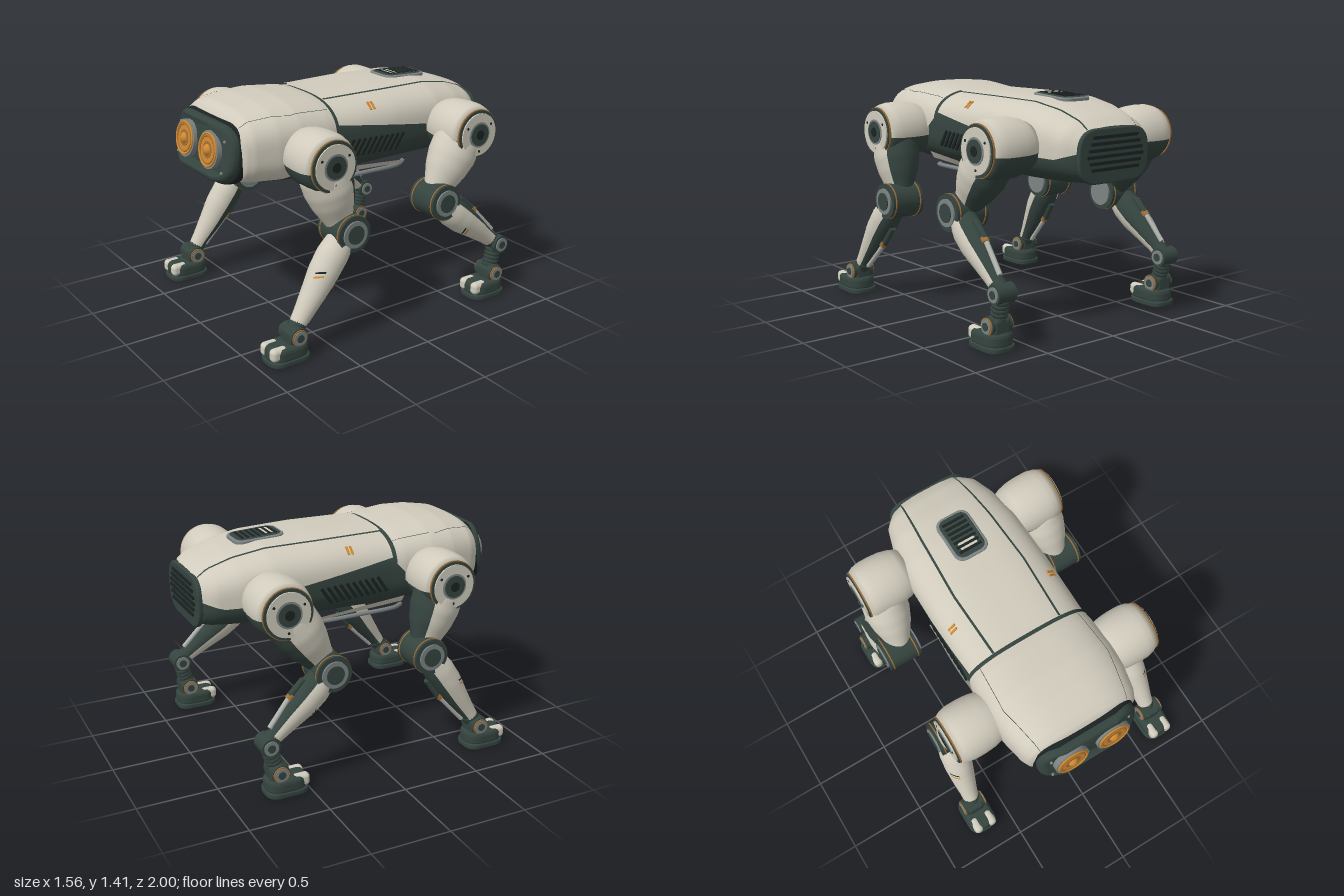
import * as THREE from 'three';
import { RoundedBoxGeometry } from 'three/addons/geometries/RoundedBoxGeometry.js';

const mat = (name, color, double) => {
  const m = new THREE.MeshStandardMaterial({ color });
  m.name = name;
  if (double) m.side = THREE.DoubleSide;
  return m;
};
const shell = mat('warm white shell', 0xd0cbbc, true);
const dark = mat('dark green grey', 0x35443f, true);
const black = mat('black recess', 0x1b2322, true);
const grey = mat('metal grey', 0x7c8483);
const steel = mat('light steel', 0xb0b2ac);
const orange = mat('lens orange', 0xd0882f, true);
const bronze = mat('bronze', 0xa06f38);

function add(parent, name, geo, material, x = 0, y = 0, z = 0) {
  const m = new THREE.Mesh(geo, material);
  m.name = name;
  m.position.set(x, y, z);
  parent.add(m);
  return m;
}
const box = (w, h, d) => new THREE.BoxGeometry(w, h, d);

// Grid surface from a rule fn(u, v) -> [x, y, z]
function patch(nu, nv, fn, flip) {
  const p = [], idx = [];
  for (let i = 0; i <= nu; i++) for (let j = 0; j <= nv; j++) p.push(...fn(i / nu, j / nv));
  for (let i = 0; i < nu; i++) for (let j = 0; j < nv; j++) {
    const a = i * (nv + 1) + j, b = a + nv + 1;
    if (flip) idx.push(a, a + 1, b, b, a + 1, b + 1);
    else idx.push(a, b, a + 1, b, b + 1, a + 1);
  }
  const g = new THREE.BufferGeometry();
  g.setAttribute('position', new THREE.Float32BufferAttribute(p, 3));
  g.setIndex(idx);
  g.computeVertexNormals();
  return g;
}
// Linear lookup in rows [key, ...values]
function look(rows, k) {
  let i = 0;
  while (i < rows.length - 2 && k > rows[i + 1][0]) i++;
  const a = rows[i], b = rows[i + 1];
  const f = THREE.MathUtils.clamp((k - a[0]) / (b[0] - a[0]), 0, 1);
  return a.slice(1).map((v, n) => v + (b[n + 1] - v) * f);
}
function roundRect(w, h, r, depth, bevel) {
  const s = new THREE.Shape(), x = w / 2 - bevel, y = h / 2 - bevel;
  s.moveTo(-x + r, -y).lineTo(x - r, -y).quadraticCurveTo(x, -y, x, -y + r).lineTo(x, y - r);
  s.quadraticCurveTo(x, y, x - r, y).lineTo(-x + r, y).quadraticCurveTo(-x, y, -x, y - r);
  s.lineTo(-x, -y + r).quadraticCurveTo(-x, -y, -x + r, -y);
  return new THREE.ExtrudeGeometry(s, { depth, bevelSize: bevel, bevelThickness: bevel, bevelSegments: 3, curveSegments: 10 });
}
// Sweep the sides of a plate backwards
function sweepSides(geo) {
  const p = geo.attributes.position;
  for (let i = 0; i < p.count; i++) p.setZ(i, p.getZ(i) - .3 * Math.max(0, Math.abs(p.getX(i)) - .18));
  geo.computeVertexNormals();
  return geo;
}
// Cylinder along x between x0 and x1 on side s
function cylX(parent, name, material, r, x0, x1, y, z, s) {
  const m = add(parent, name, new THREE.CylinderGeometry(r, r, x1 - x0, 32), material, s * (x0 + x1) / 2, y, z);
  m.rotation.z = Math.PI / 2;
}

// Body sections: z, half width, top, bottom
const BODY = [[-.97, .26, 1.24, .91], [-.9, .325, 1.285, .895], [-.75, .37, 1.335, .885], [-.55, .4, 1.37, .88],
  [-.2, .41, 1.38, .88], [.22, .41, 1.375, .875], [.3, .42, 1.39, .88], [.5, .43, 1.41, .885],
  [.65, .42, 1.405, .9], [.8, .39, 1.38, .925], [.85, .365, 1.35, .942], [.875, .32, 1.305, .975]];
const Z0 = -.97, Z1 = .875, POW = .7;
const sp = v => Math.sign(v) * Math.abs(v) ** POW;
function bodyPoint(z, a, off) {
  const [w, t, b] = look(BODY, z);
  return [(w + off) * sp(Math.sin(a)), (t + b) / 2 + ((t - b) / 2 + off) * sp(Math.cos(a)), z];
}
// Angle from the top of a section at a given height or half width
function angleY(z, y) {
  const [, t, b] = look(BODY, z);
  const c = THREE.MathUtils.clamp((2 * y - t - b) / (t - b), -1, 1);
  return Math.acos(Math.sign(c) * Math.abs(c) ** (1 / POW));
}
const angleX = (z, x) => Math.asin(Math.min(1, x / look(BODY, z)[0]) ** (1 / POW));
function band(parent, name, material, z0, z1, lo, hi, off, nv = 4) {
  add(parent, name, patch(48, nv, (u, v) => {
    const z = z0 + (z1 - z0) * u, a = lo(z), b = hi(z);
    return bodyPoint(z, a + (b - a) * v, off);
  }), material);
}

function buildBody(root) {
  const g = new THREE.Group();
  g.name = 'body';
  root.add(g);
  // Dark hull with flat ends
  add(g, 'hull', patch(64, 64, (u, v) => {
    const k = THREE.MathUtils.clamp((u * 64 - 1) / 62, 0, 1);
    const q = bodyPoint(Z0 + (Z1 - Z0) * k, (2 * v - 1) * Math.PI, -.012);
    return u === 0 || u === 1 ? [0, 1.1, q[2]] : q;
  }), dark);
  // White shells
  const rearEdge = [[-.97, 1.1], [-.85, 1.06], [-.6, 1.07], [-.45, 1.14], [.22, 1.24]];
  const headEdge = [[.25, 1.2], [.4, 1.04], [.6, .975], [.875, .98]];
  const rear = z => angleY(z, look(rearEdge, z)[0]), head = z => angleY(z, look(headEdge, z)[0]);
  band(g, 'rear shell', shell, Z0, .225, z => -rear(z), rear, 0, 48);
  band(g, 'head shell', shell, .25, Z1, z => -head(z), head, 0, 48);
  // Raised back panel and seams
  const panel = z => angleX(z, look([[-.97, .18], [-.6, .21], [-.2, .23], [.22, .215]], z)[0]);
  band(g, 'back panel', shell, -.96, .225, z => -panel(z), panel, .01, 20);
  for (const s of [1, -1]) {
    const order = (f, h) => (s > 0 ? [f, h] : [z => -h(z), z => -f(z)]);
    band(g, 'panel seam', dark, -.96, .225, ...order(panel, z => panel(z) + .045), .007, 2);
    const seam = z => angleX(z, look([[.25, .33], [.55, .35], [.85, .29]], z)[0]);
    band(g, 'head seam', dark, .25, .85, ...order(seam, z => seam(z) + .012), .006, 1);
    // Side skirt, a slanted wedge below the hull
    add(g, 'side skirt', patch(12, 2, (u, v) => {
      const top = .935 + .05 * u, low = .905 + .035 * u;
      return [s * (.4 - .03 * v), top + (low - top) * v, -.28 + .59 * u];
    }, s < 0), shell);
    // Slanted side louvres
    for (let i = 0; i < 10; i++) {
      const m = add(g, 'side louvre', box(.012, .12, .018), black, s * .4, 1.085 - i * .002, .15 - i * .042);
      m.rotation.x = -.6;
    }
    // Orange dashes
    for (const dz of [-.035, -.06]) {
      const p = bodyPoint(dz, s * angleX(dz, .345), 0);
      const m = add(g, 'orange dash', box(.058, .008, .014), orange, ...p);
      m.rotation.z = -s * .75;
    }
    // Belly rail
    const pts = [[.3, .89, .34], [.36, .9, .26], [.385, .905, 0], [.36, .895, -.25], [.31, .895, -.33]];
    const curve = new THREE.CatmullRomCurve3(pts.map(p => new THREE.Vector3(s * p[0], p[1], p[2])));
    add(g, 'belly rail', new THREE.TubeGeometry(curve, 30, .014, 8), grey);
  }
  // Back vent on top
  const vent = new THREE.Group();
  vent.name = 'top vent';
  vent.position.set(0, 1.366, -.515);
  vent.rotation.x = -Math.PI / 2 - .05;
  g.add(vent);
  add(vent, 'vent frame', roundRect(.225, .32, .06, .014, .008), grey);
  add(vent, 'vent bed', roundRect(.195, .29, .05, .018, .008), dark);
  for (let i = 0; i < 7; i++) add(vent, 'vent slat', box(.15, .018, .008), black, 0, -.105 + i * .035, .026);
  for (const y of [-.0525, -.0875]) add(vent, 'vent highlight strip', box(.11, .016, .008), shell, 0, y, .025);

  // Face plate
  const face = new THREE.Group();
  face.name = 'face';
  face.position.set(0, 1.145, .895);
  face.rotation.x = -.16;
  g.add(face);
  add(face, 'face rim', sweepSides(roundRect(.69, .365, .14, .035, .012)), black, 0, 0, -.02);
  add(face, 'face plate', sweepSides(roundRect(.67, .345, .13, .042, .028)), dark);
  for (const s of [1, -1]) {
    for (const y of [-.105, .08]) add(face, 'face bolt', new THREE.SphereGeometry(.01, 10, 8), grey, s * .265, y, .044);
    const disc = (name, m, r, z) => {
      add(face, name, new THREE.CylinderGeometry(r, r, .06, 40), m, s * .142, .006, z - .015).rotation.x = Math.PI / 2;
    };
    disc('eye socket', grey, .113, .062);
    disc('eye disc', orange, .098, .066);
    add(face, 'eye rim', new THREE.TorusGeometry(.096, .007, 8, 40), orange, s * .142, .006, .08);
    add(face, 'eye groove', new THREE.TorusGeometry(.081, .005, 8, 40), bronze, s * .142, .006, .08);
    disc('eye pupil ring', bronze, .05, .068);
    add(face, 'eye lens', new THREE.SphereGeometry(.037, 20, 14), orange, s * .142, .006, .068);
  }
  // Tail grille
  add(g, 'tail plate', roundRect(.54, .32, .13, .012, .01), dark, 0, 1.075, -.978);
  for (let i = 0; i < 6; i++) {
    const y = 1.185 - i * .037;
    add(g, 'tail slat', box(.44 - Math.abs(i - 2.8) * .035, .018, .014), black, 0, y, -.992);
  }
}

// Tapered limb from a to b; rows: t, x radius, z radius, z shift. White in front and outside, dark behind
function limb(parent, name, a, b, rows, s) {
  const A = new THREE.Vector3(...a), d = new THREE.Vector3(...b).sub(A), L = d.length();
  const g = new THREE.Group();
  g.name = name;
  g.position.copy(A);
  g.quaternion.setFromUnitVectors(new THREE.Vector3(0, -1, 0), d.normalize());
  parent.add(g);
  const t0 = rows[0][0], t1 = rows[rows.length - 1][0];
  const point = (t, q, off) => {
    const [rx, rz, sh] = look(rows, t);
    return [s * (rx + off) * Math.sin(q), -t * L, sh + (rz + off) * Math.cos(q)];
  };
  const skin = (from, to, off) => patch(24, 24, (u, v) => point(t0 + (t1 - t0) * u, from + (to - from) * v, off), s < 0);
  add(g, name + ' shell', skin(-1.6, 2.1, .005), shell);
  add(g, name + ' core', skin(2.0, 2 * Math.PI - 1.5, -.003), dark);
  return { g, L, point };
}
const THIGH = [[-.12, .01, .01, 0], [0, .11, .13, 0], [.18, .137, .16, 0], [.4, .14, .155, 0], [.6, .12, .135, 0],
  [.78, .088, .105, 0], [.93, .07, .08, 0], [1.02, .01, .01, 0]];
const SHANK = [[0, .055, .06, 0], [.1, .078, .085, 0], [.25, .09, .096, .005], [.42, .087, .092, .005],
  [.62, .072, .074, 0], [.82, .053, .054, 0], [.95, .045, .045, 0], [1, .01, .01, 0]];

function buildLeg(root, { name, s, hip, knee, hock, ankle }) {
  const g = new THREE.Group();
  g.name = name;
  root.add(g);
  // Hip barrel, white on top
  const prof = [[.001, .34], [.14, .36], [.162, .41], [.176, .47], [.181, .54], [.18, .61], [.17, .655], [.152, .688], [.001, .69]];
  const barrel = (k, from, len) => {
    const geo = new THREE.LatheGeometry(prof.map(p => new THREE.Vector2(p[0] * k, p[1])), 36, from, len);
    return geo.rotateZ(-s * Math.PI / 2);
  };
  add(g, 'hip core', barrel(.985, 0, Math.PI * 2), dark, 0, hip[1], hip[0]);
  add(g, 'hip cover', barrel(1.01, (s > 0 ? Math.PI : 0) - .15, Math.PI + .3), shell, 0, hip[1], hip[0]);
  cylX(g, 'hip bronze ring', bronze, .157, .687, .696, hip[1], hip[0], s);
  cylX(g, 'hip rim', dark, .152, .69, .703, hip[1], hip[0], s);
  cylX(g, 'hip plate', shell, .135, .69, .711, hip[1], hip[0], s);
  cylX(g, 'hip ring', grey, .08, .7, .716, hip[1], hip[0], s);
  cylX(g, 'hip hub', dark, .068, .7, .72, hip[1], hip[0], s);
  cylX(g, 'hip cap', black, .03, .7, .723, hip[1], hip[0], s);
  for (let i = 0; i < 3; i++)
    cylX(g, 'hip bolt', black, .008, .7, .714, hip[1] + .108 * Math.sin(i * 2.09 + .5), hip[0] + .108 * Math.cos(i * 2.09 + .5), s);

  limb(g, 'thigh', [s * .565, hip[1], hip[0]], [s * .6, knee[1], knee[0]], THIGH, s);

  // Knee joint
  cylX(g, 'knee drum', dark, .112, .505, .728, knee[1], knee[0], s);
  for (const x of [.525, .703]) cylX(g, 'knee bronze ring', bronze, .115, x, x + .008, knee[1], knee[0], s);
  cylX(g, 'knee ring', grey, .083, .492, .738, knee[1], knee[0], s);
  cylX(g, 'knee hub', dark, .057, .7, .743, knee[1], knee[0], s);

  // Shank with cuff, rear piston and painted dashes
  const end = hock || ankle;
  const { g: sh, L, point } = limb(g, 'shank', [s * .64, knee[1], knee[0]], [s * .682, end[1], end[0]], SHANK, s);
  add(sh, 'shank cuff', new THREE.CylinderGeometry(.054, .052, L * .08, 24), dark, 0, -L * .92, 0);
  add(sh, 'piston rod', new THREE.CylinderGeometry(.016, .016, L * .42, 12), steel, 0, -L * .65, -.073).rotation.x = -.14;
  add(sh, 'piston sleeve', new THREE.CylinderGeometry(.021, .021, L * .22, 12), dark, 0, -L * .36, -.09);
  add(sh, 'piston collar', new THREE.CylinderGeometry(.025, .025, .034, 12), bronze, 0, -L * .48, -.083);
  [black, orange].forEach((m, i) => add(sh, 'shank dash', patch(6, 1, (u, v) =>
    point(.43 + i * .04 + (.03 * (u - .5) + .011 * v) / L, .75 - .6 * (u - .5), .009), s > 0), m));

  // Hock and bellows on the hind legs
  if (hock) {
    cylX(g, 'hock joint', dark, .058, .62, .745, hock[1], hock[0], s);
    cylX(g, 'hock ring', grey, .045, .612, .752, hock[1], hock[0], s);
    cylX(g, 'hock hub', dark, .025, .608, .756, hock[1], hock[0], s);
    for (let i = 0; i < 5; i++) {
      const f = .25 + i * .13;
      const m = add(g, 'bellows ring', new THREE.TorusGeometry(.034, .018, 8, 24), dark, s * .683,
        hock[1] + (ankle[1] - hock[1]) * f, hock[0] + (ankle[0] - hock[0]) * f);
      m.rotation.x = Math.PI / 2 - .25;
    }
  }
  // Ankle
  add(g, 'ankle bracket', new RoundedBoxGeometry(.12, .12, .12, 3, .025), dark, s * .685, .135, ankle[0]);
  cylX(g, 'ankle joint', dark, .056, .615, .755, ankle[1], ankle[0], s);
  cylX(g, 'ankle bronze ring', bronze, .05, .607, .763, ankle[1], ankle[0], s);
  cylX(g, 'ankle ring', grey, .042, .604, .768, ankle[1], ankle[0], s);
  cylX(g, 'ankle hub', dark, .024, .6, .772, ankle[1], ankle[0], s);

  // Foot with sole and white toe patches
  const toe = ankle[0] + .185, mid = toe - .135;
  const slab = (w, l, r, h, bevel) => roundRect(w, l, r, h, bevel).rotateX(-Math.PI / 2);
  add(g, 'sole', slab(.195, .27, .07, .017, .01), dark, s * .685, .01, mid);
  add(g, 'foot', slab(.184, .26, .06, .04, .03), dark, s * .685, .045, mid);
  for (const k of [1, -1])
    add(g, 'toe patch', new RoundedBoxGeometry(.06, .08, .11, 4, .027), shell, s * .685 + k * .05, .079, toe - .054);
}

export function createModel() {
  const root = new THREE.Group();
  root.name = 'fourLeggedRobot';
  buildBody(root);
  const hipF = [.47, 1.115], hipR = [-.61, 1.115];
  [
    { name: 'leftFrontLeg', s: 1, hip: hipF, knee: [.345, .685], ankle: [.755, .15] },
    { name: 'rightFrontLeg', s: -1, hip: hipF, knee: [.32, .69], ankle: [.685, .15] },
    { name: 'leftHindLeg', s: 1, hip: hipR, knee: [-.35, .725], hock: [-.82, .34], ankle: [-.775, .15] },
    { name: 'rightHindLeg', s: -1, hip: hipR, knee: [-.335, .705], hock: [-.75, .33], ankle: [-.695, .15] },
  ].forEach(leg => buildLeg(root, leg));
  return root;
}
